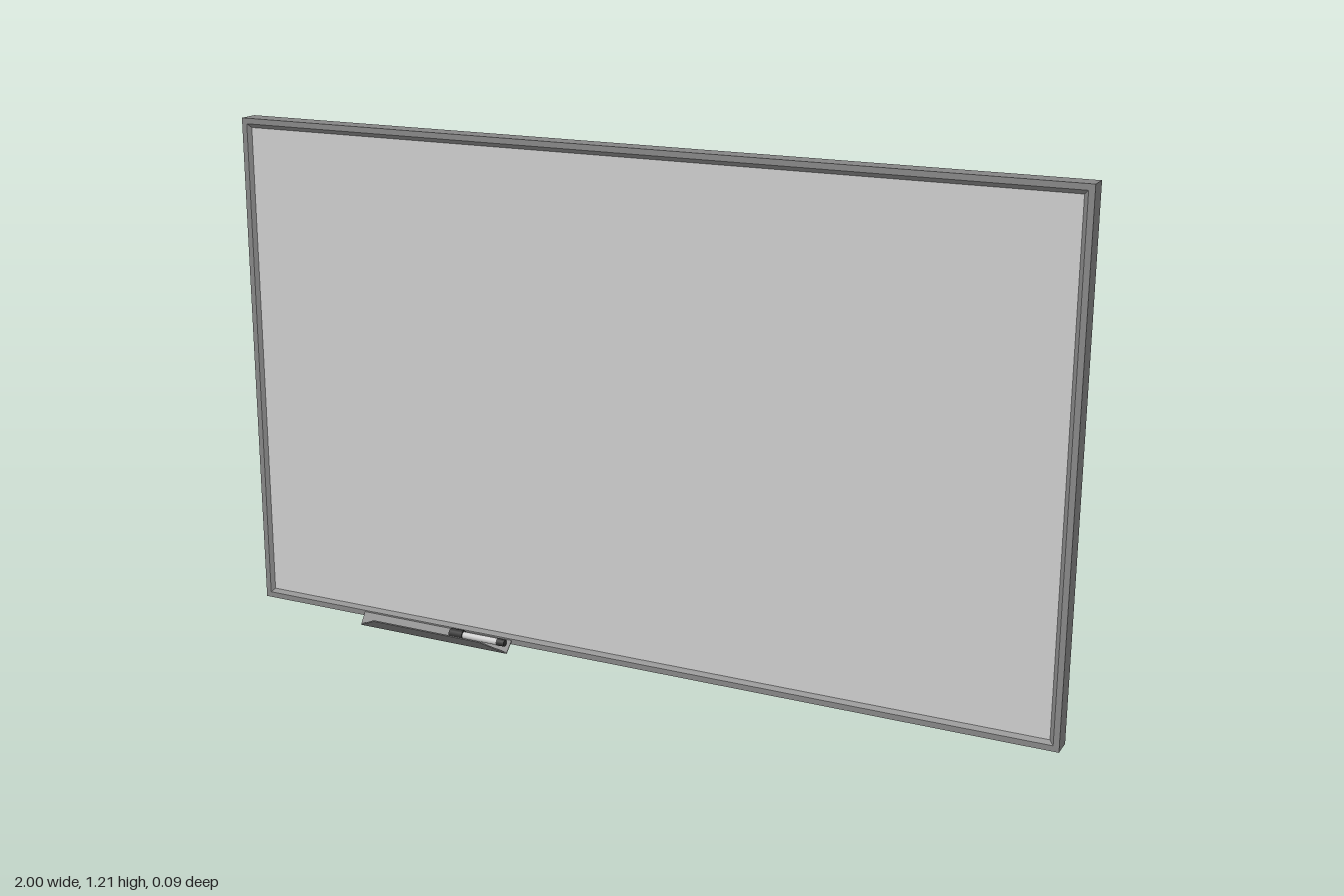
import * as THREE from 'three';
import { ConvexGeometry } from 'three/addons/geometries/ConvexGeometry.js';

const FRONT = 0.0015, BACK = -0.0465, BOTTOM = 0.017, TOP = 1.205;
const MID = (BOTTOM + TOP) / 2, HEIGHT = TOP - BOTTOM;

export function createModel() {
  const group = new THREE.Group();
  const frameMat = new THREE.MeshStandardMaterial({ color: 0x868686 });
  const panelMat = new THREE.MeshStandardMaterial({ color: 0xcccccc });
  const darkMat = new THREE.MeshStandardMaterial({ color: 0x333333 });

  const add = (name, geometry, material, parent = group) => {
    const mesh = new THREE.Mesh(geometry, material);
    mesh.name = name;
    parent.add(mesh);
    return mesh;
  };

  // Frame: rectangular rings [inset, z] joined with mitred corners
  const rings = [[0, BACK], [0, FRONT], [0.013, FRONT], [0.022, -0.005]];
  const corners = ([inset, z]) => [[-1, -1], [1, -1], [1, 1], [-1, 1]].map(([sx, sy]) =>
    [sx * (1 - inset), MID + sy * (HEIGHT / 2 - inset), z]);
  const pos = [];
  for (let r = 0; r < rings.length - 1; r++) {
    const a = corners(rings[r]), b = corners(rings[r + 1]);
    for (let i = 0; i < 4; i++) {
      const j = (i + 1) % 4;
      pos.push(...a[i], ...a[j], ...b[j], ...a[i], ...b[j], ...b[i]);
    }
  }
  const frame = new THREE.BufferGeometry();
  frame.setAttribute('position', new THREE.Float32BufferAttribute(pos, 3));
  frame.computeVertexNormals();
  add('frame', frame, frameMat);

  // Backing sheet closes the rear of the frame
  const backing = add('backing', new THREE.PlaneGeometry(2, HEIGHT), frameMat);
  backing.position.set(0, MID, BACK);
  backing.rotation.y = Math.PI;

  // Writing surface, slightly recessed
  const board = add('writingSurface', new THREE.PlaneGeometry(1.956, HEIGHT - 0.044), panelMat);
  board.position.set(0, MID, -0.005);

  // Pen tray: a V of two thin plates, the front one tapering outwards
  const tray = new THREE.Group();
  tray.name = 'penTray';
  group.add(tray);
  const rows = [
    { y: 0.024, z: 0.001, x0: -0.71, x1: -0.302 },
    { y: 0, z: 0.022, x0: -0.708, x1: -0.304 },
    { y: 0.027, z: 0.0465, x0: -0.655, x1: -0.365 },
  ];
  ['trayBack', 'trayFront'].forEach((name, i) => {
    const pts = [];
    for (const { y, z, x0, x1 } of [rows[i], rows[i + 1]])
      for (const x of [x0, x1])
        for (const t of [0, 0.003]) pts.push(new THREE.Vector3(x, y + t, z));
    add(name, new ConvexGeometry(pts), frameMat, tray);
  });

  // Marker pen lying in the tray
  const pen = new THREE.Group();
  pen.name = 'marker';
  pen.position.set(0, 0.026, 0.0215);
  group.add(pen);
  const penPart = (name, x0, x1, r0, r1, material) => {
    const geo = new THREE.CylinderGeometry(r1, r0, x1 - x0, 16).rotateZ(-Math.PI / 2);
    add(name, geo, material, pen).position.x = (x0 + x1) / 2;
  };
  penPart('markerCap', -0.455, -0.42, 0.011, 0.011, darkMat);
  penPart('markerBody', -0.42, -0.328, 0.008, 0.008, panelMat);
  penPart('markerEnd', -0.328, -0.308, 0.009, 0.008, darkMat);

  return group;
}
